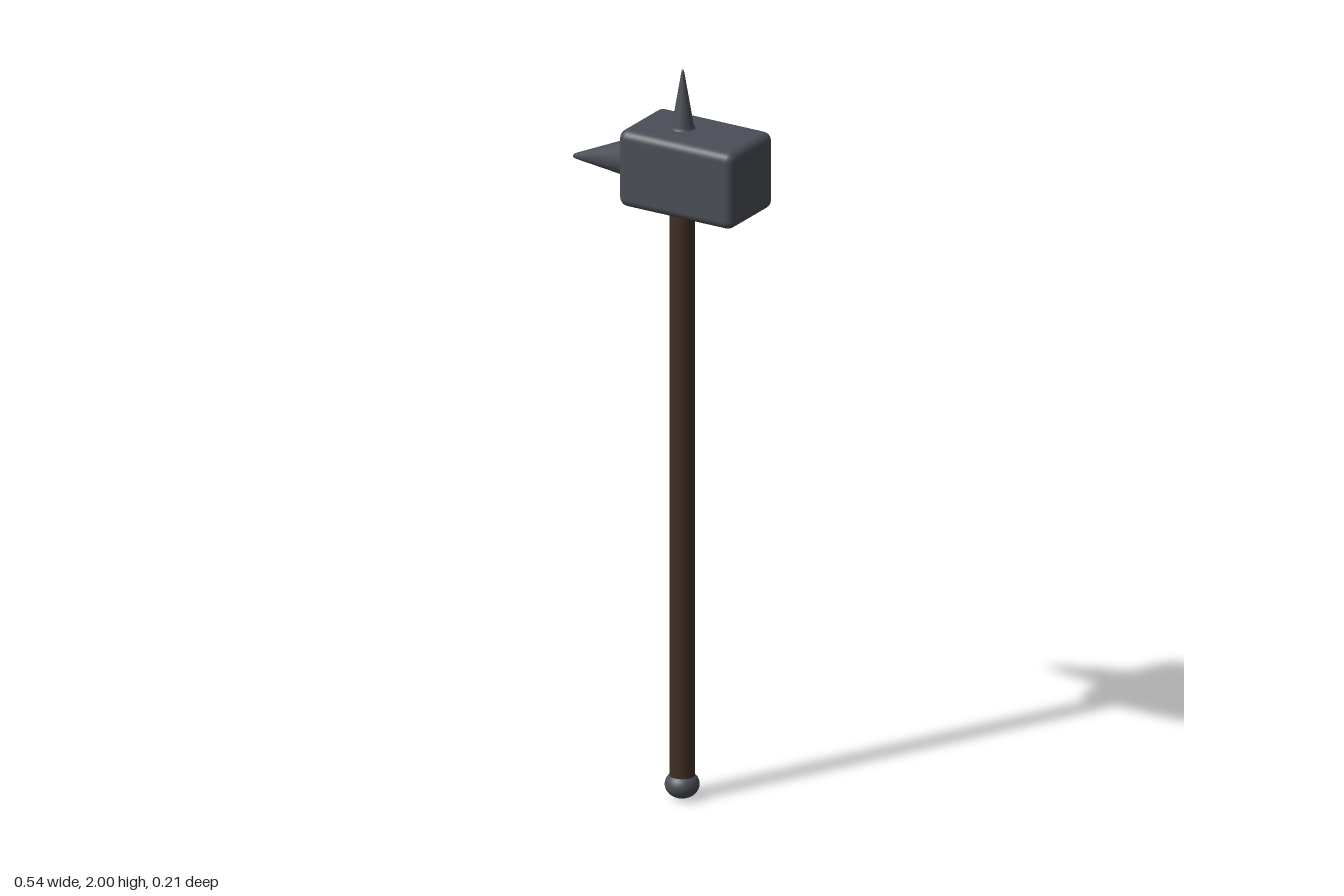
import * as THREE from 'three';
import { RoundedBoxGeometry } from 'three/addons/geometries/RoundedBoxGeometry.js';

const SHAFT_X = 0.058;

// Round spike along +y, flared where it meets the head
function spikeGeometry(profile) {
  return new THREE.LatheGeometry(profile.map(([r, y]) => new THREE.Vector2(r, y)), 32);
}

export function createModel() {
  const model = new THREE.Group();
  const steel = new THREE.MeshStandardMaterial({ color: 0x4b4e56 });
  steel.name = 'dark steel';
  const wood = new THREE.MeshStandardMaterial({ color: 0x402f26 });
  wood.name = 'dark wood';

  const add = (name, geometry, material, x, y) => {
    const mesh = new THREE.Mesh(geometry, material);
    mesh.name = name;
    mesh.position.set(x, y, 0);
    model.add(mesh);
    return mesh;
  };

  // Hammer head
  add('head', new RoundedBoxGeometry(0.345, 0.21, 0.21, 5, 0.024), steel, 0.0985, 1.735);

  // Wooden shaft
  add('shaft', new THREE.CylinderGeometry(0.033, 0.033, 1.62, 32), wood, SHAFT_X, 0.85);

  // Flattened ball at the foot of the shaft
  add('pommel', new THREE.SphereGeometry(0.045, 32, 20), steel, SHAFT_X, 0.037).scale.y = 0.82;

  // Spike on top of the head
  add('topSpike', spikeGeometry([
    [0.034, -0.003], [0.031, 0.002], [0.028, 0.008], [0.004, 0.152], [0.002, 0.159], [0, 0.16],
  ]), steel, SHAFT_X + 0.002, 1.84);

  // Side beak: a spike turned to -x, with its axis sloping down to the tip
  const beak = spikeGeometry([
    [0.063, -0.003], [0.059, 0.002], [0.055, 0.008], [0.008, 0.187], [0.005, 0.194], [0, 0.197],
  ]);
  beak.rotateZ(Math.PI / 2);
  beak.applyMatrix4(new THREE.Matrix4().makeShear(0.19, 0, 0, 0, 0, 0));
  add('sideBeak', beak, steel, -0.074, 1.732);

  return model;
}
